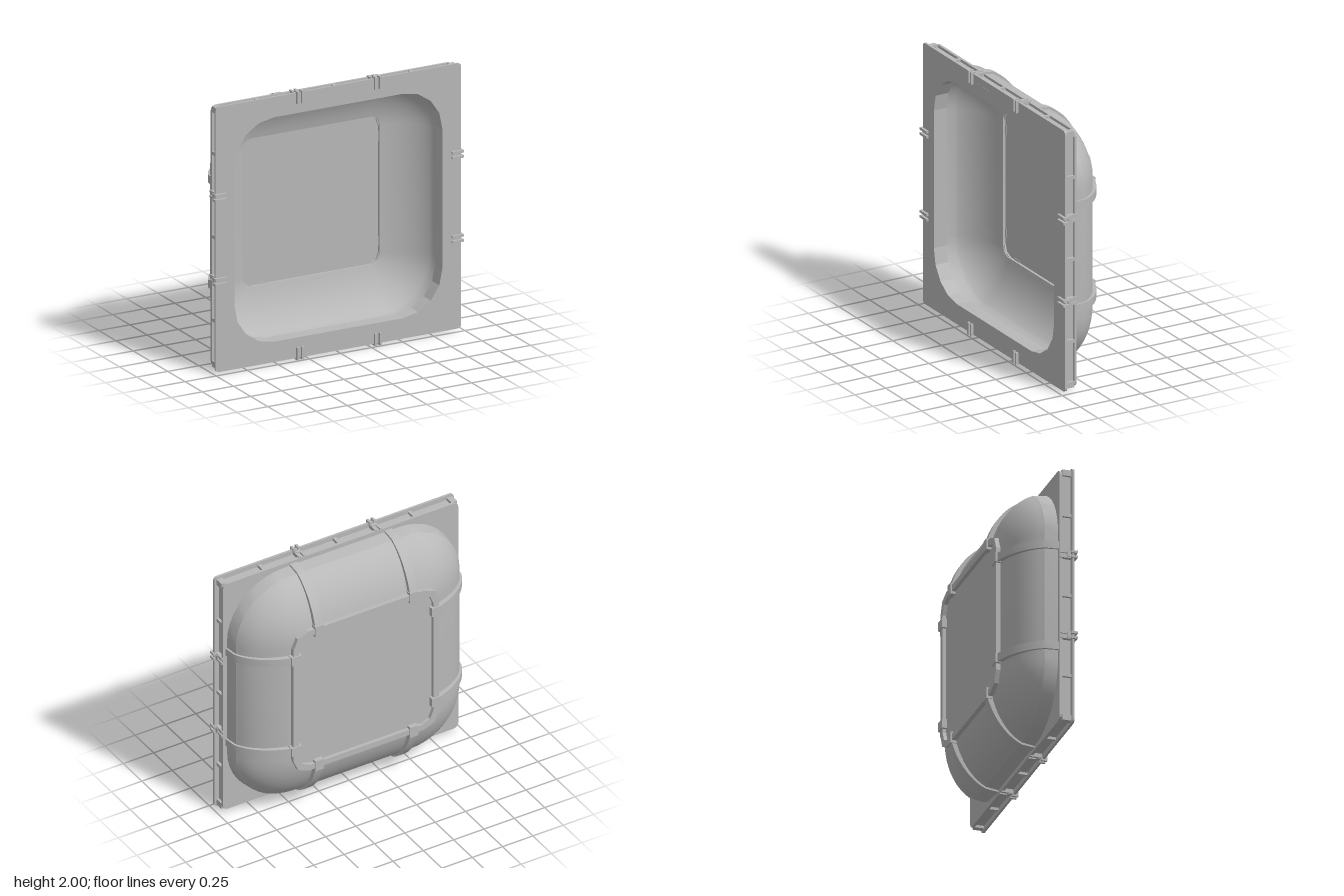
import * as THREE from 'three';
import { toCreasedNormals } from 'three/addons/utils/BufferGeometryUtils.js';

// Points of a rounded square: half size h, corner arcs centred at (c, c), n segments each
function roundedSquare(h, c, n) {
  const pts = [], r = h - c;
  for (let q = 0; q < 4; q++) {
    const sx = q === 0 || q === 3 ? c : -c, sy = q < 2 ? c : -c;
    for (let i = 0; i <= n; i++) {
      const a = (q + i / n) * Math.PI / 2;
      pts.push(new THREE.Vector2(sx + r * Math.cos(a), sy + r * Math.sin(a)));
    }
  }
  return pts;
}

// Flat rounded-square plate from z0 to z1, with an optional hole
function plate(outer, z0, z1, hole) {
  const shape = new THREE.Shape(outer);
  if (hole) shape.holes.push(new THREE.Path(hole));
  const g = new THREE.ExtrudeGeometry(shape, { depth: z1 - z0, bevelEnabled: false });
  return g.translate(0, 0, z0);
}

// Shallow arc from the wall (h0, z0) to the floor edge (h1, z1)
function arc(h0, z0, h1, z1, n) {
  const pts = [], a0 = Math.PI * 0.1, span = Math.PI * 0.3;
  const lo = Math.sin(a0), range = Math.cos(a0) - lo;
  for (let i = 0; i <= n; i++) {
    const a = a0 + span * i / n;
    pts.push([
      h1 + (h0 - h1) * (Math.cos(a) - lo) / range,
      z0 + (z1 - z0) * (Math.sin(a) - lo) / range,
    ]);
  }
  return pts;
}

// Surface through rounded squares given as [half size, z]
function loft(profile, c, n) {
  const pos = [], idx = [], m = 4 * (n + 1);
  profile.forEach(([h, z]) => roundedSquare(h, c, n).forEach(p => pos.push(p.x, p.y, z)));
  for (let k = 0; k < profile.length - 1; k++) {
    for (let i = 0; i < m; i++) {
      const a = k * m + i, b = k * m + (i + 1) % m;
      idx.push(a, a + m, b, b, a + m, b + m);
    }
  }
  const g = new THREE.BufferGeometry();
  g.setAttribute('position', new THREE.Float32BufferAttribute(pos, 3));
  g.setIndex(idx);
  return toCreasedNormals(g, 0.5);
}

export function createModel() {
  const model = new THREE.Group();
  model.name = 'domedPanel';
  const body = new THREE.Group();
  body.name = 'body';
  body.position.y = 1;
  model.add(body);
  const grey = new THREE.MeshStandardMaterial({ color: 0xb8b8b8 });
  grey.name = 'grey';

  const add = (parent, name, geometry) => {
    const mesh = new THREE.Mesh(geometry, grey);
    mesh.name = name;
    parent.add(mesh);
    return mesh;
  };
  const box = (parent, name, w, h, d, x, y, z) =>
    add(parent, name, new THREE.BoxGeometry(w, h, d)).position.set(x, y, z);

  // Square frame: front lip, recessed core and back flange
  const opening = roundedSquare(0.835, 0.52, 4);
  add(body, 'frameFrontLip', plate(roundedSquare(0.987, 0.96, 3), 0.203, 0.22, opening));
  add(body, 'frameCore', plate(roundedSquare(0.95, 0.93, 3), 0.135, 0.203, opening));
  add(body, 'frameBackFlange', plate(roundedSquare(0.97, 0.93, 3), 0.115, 0.135, opening));
  box(body, 'frontMark', 0.24, 0.006, 0.002, -0.12, 0.93, 0.22);

  // Dish: outer dome, inner bowl stepping down to the floor
  const outer = [[0.937, 0.118], [0.922, 0.02], ...arc(0.918, 0.015, 0.57, -0.205, 12)];
  const inner = [[0.55, -0.198], ...arc(0.868, 0.03, 0.55, -0.178, 12).reverse(), [0.875, 0.118]];
  add(body, 'dishOuter', loft(outer, 0.475, 10));
  add(body, 'dishInner', loft(inner, 0.475, 10));
  add(body, 'dishFloor', plate(roundedSquare(0.572, 0.475, 4), -0.205, -0.196));

  // Raised trim around the back of the floor
  add(body, 'floorTrim', plate(roundedSquare(0.6, 0.475, 2), -0.232, -0.185, roundedSquare(0.555, 0.455, 2)));

  // Curved strap cross-section, swept across its width
  const strapOutline = [
    [0.95, 0.118], ...arc(0.938, 0.02, 0.58, -0.24, 12),
    ...arc(0.9, 0.02, 0.58, -0.195, 12).reverse(), [0.915, 0.118],
  ].map(p => new THREE.Vector2(...p));
  const strap = toCreasedNormals(
    new THREE.ExtrudeGeometry(new THREE.Shape(strapOutline), { depth: 0.06, bevelEnabled: false }), 0.5);
  strap.translate(0, 0, -0.03);
  strap.applyMatrix4(new THREE.Matrix4().makeBasis(
    new THREE.Vector3(0, 1, 0), new THREE.Vector3(0, 0, 1), new THREE.Vector3(1, 0, 0)));

  // Four identical sides
  for (let k = 0; k < 4; k++) {
    const side = new THREE.Group();
    side.name = 'side' + (k + 1);
    side.rotation.z = k * Math.PI / 2;
    body.add(side);

    // Ribs dividing the frame edge into six recesses
    for (const x of [-0.62, -0.313, 0, 0.313, 0.62])
      box(side, 'edgeRib', 0.025, 0.03, 0.07, x, 0.955, 0.169);
    for (const s of [-1, 1]) {
      box(side, 'cornerPost', 0.045, 0.03, 0.07, s * 0.9475, 0.955, 0.169);

      // Strap with its end clip on the trim
      add(side, 'strap', strap).position.x = s * 0.39;
      box(side, 'strapClip', 0.07, 0.085, 0.05, s * 0.39, 0.578, -0.217);

      // Twin hooks over the frame lip
      for (const d of [-0.019, 0.019]) {
        const x = s * 0.313 + d;
        box(side, 'hookFront', 0.018, 0.09, 0.02, x, 0.952, 0.229);
        box(side, 'hookTop', 0.018, 0.03, 0.045, x, 0.985, 0.2165);
        box(side, 'hookStem', 0.018, 0.03, 0.085, x, 0.965, 0.158);
      }
      box(side, 'hookBridge', 0.04, 0.025, 0.025, s * 0.313, 0.972, 0.18);
    }
  }
  return model;
}
